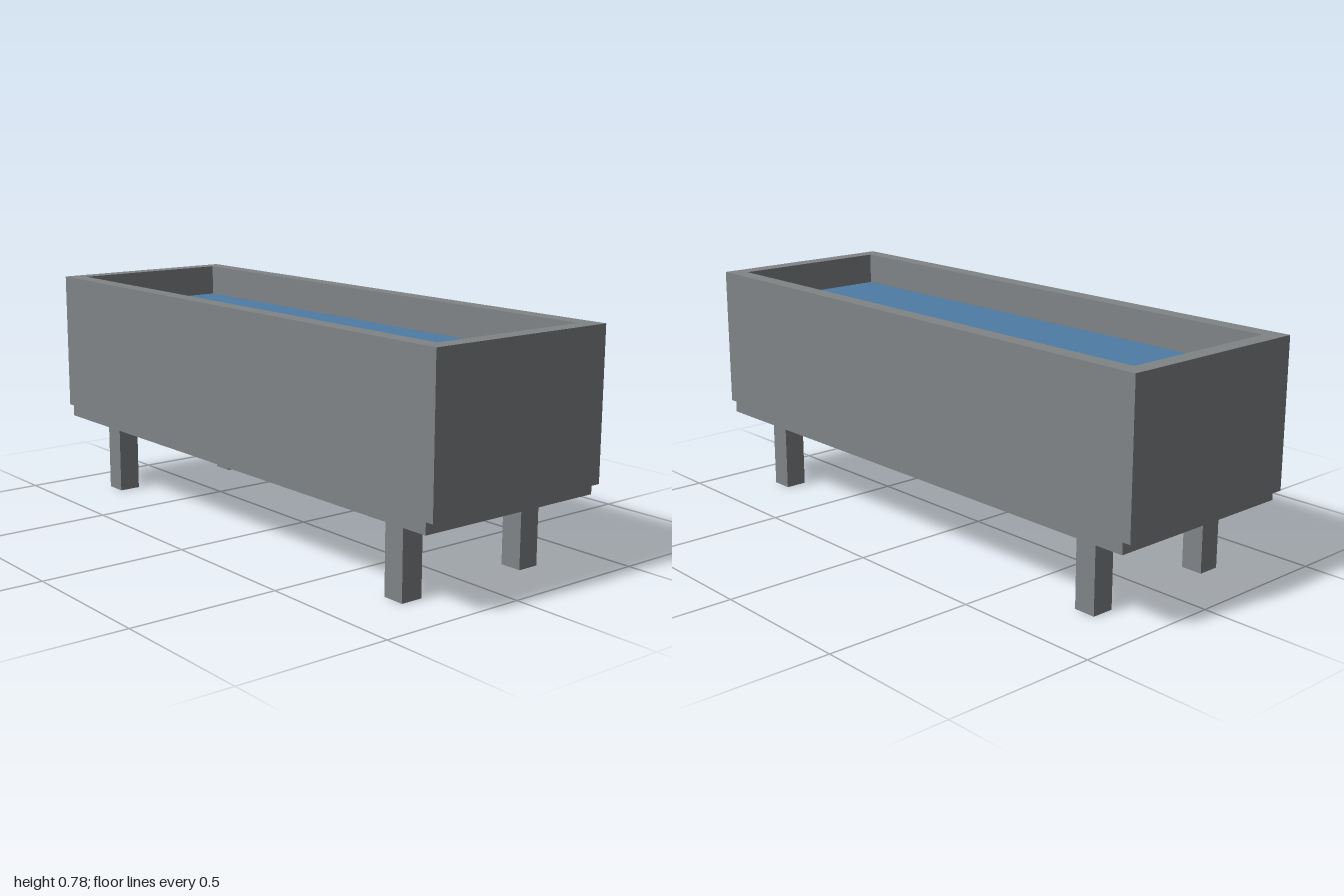
import * as THREE from 'three';

export function createModel() {
  const model = new THREE.Group();
  model.name = 'waterTrough';

  const steel = new THREE.MeshStandardMaterial({ color: 0x808486 });
  steel.name = 'grey steel';
  const blue = new THREE.MeshStandardMaterial({ color: 0x4e7ca4 });
  blue.name = 'water blue';

  const halfX = 1, halfZ = 0.34, wall = 0.057;
  const floorY = 0.254, wallY = 0.292, topY = 0.778, waterY = 0.67;

  function add(name, geometry, material, x, y, z) {
    const mesh = new THREE.Mesh(geometry, material);
    mesh.name = name;
    mesh.position.set(x, y, z);
    model.add(mesh);
  }

  const rectangle = (Type, hx, hz) => new Type([
    new THREE.Vector2(-hx, -hz), new THREE.Vector2(hx, -hz),
    new THREE.Vector2(hx, hz), new THREE.Vector2(-hx, hz),
  ]);

  // Four walls as one open frame
  const outline = rectangle(THREE.Shape, halfX, halfZ);
  outline.holes.push(rectangle(THREE.Path, halfX - wall, halfZ - wall));
  const frame = new THREE.ExtrudeGeometry(outline, { depth: topY - wallY, bevelEnabled: false });
  frame.rotateX(-Math.PI / 2);
  add('walls', frame, steel, 0, wallY, 0);

  // Floor plate, inset at both ends
  const floorH = wallY - floorY;
  add('floor', new THREE.BoxGeometry(1.944, floorH, halfZ * 2), steel, 0, floorY + floorH / 2, 0);

  // Water filling the basin
  const waterH = waterY - wallY;
  add('water', new THREE.BoxGeometry((halfX - wall) * 2, waterH, (halfZ - wall) * 2), blue,
    0, wallY + waterH / 2, 0);

  // Four square legs
  const leg = new THREE.BoxGeometry(0.076, floorY, 0.076);
  for (const [side, sx] of [['Left', 1], ['Right', -1]]) {
    for (const [end, sz] of [['front', 1], ['back', -1]]) {
      add(`${end}${side}Leg`, leg, steel, sx * 0.778, floorY / 2, sz * 0.243);
    }
  }

  return model;
}
